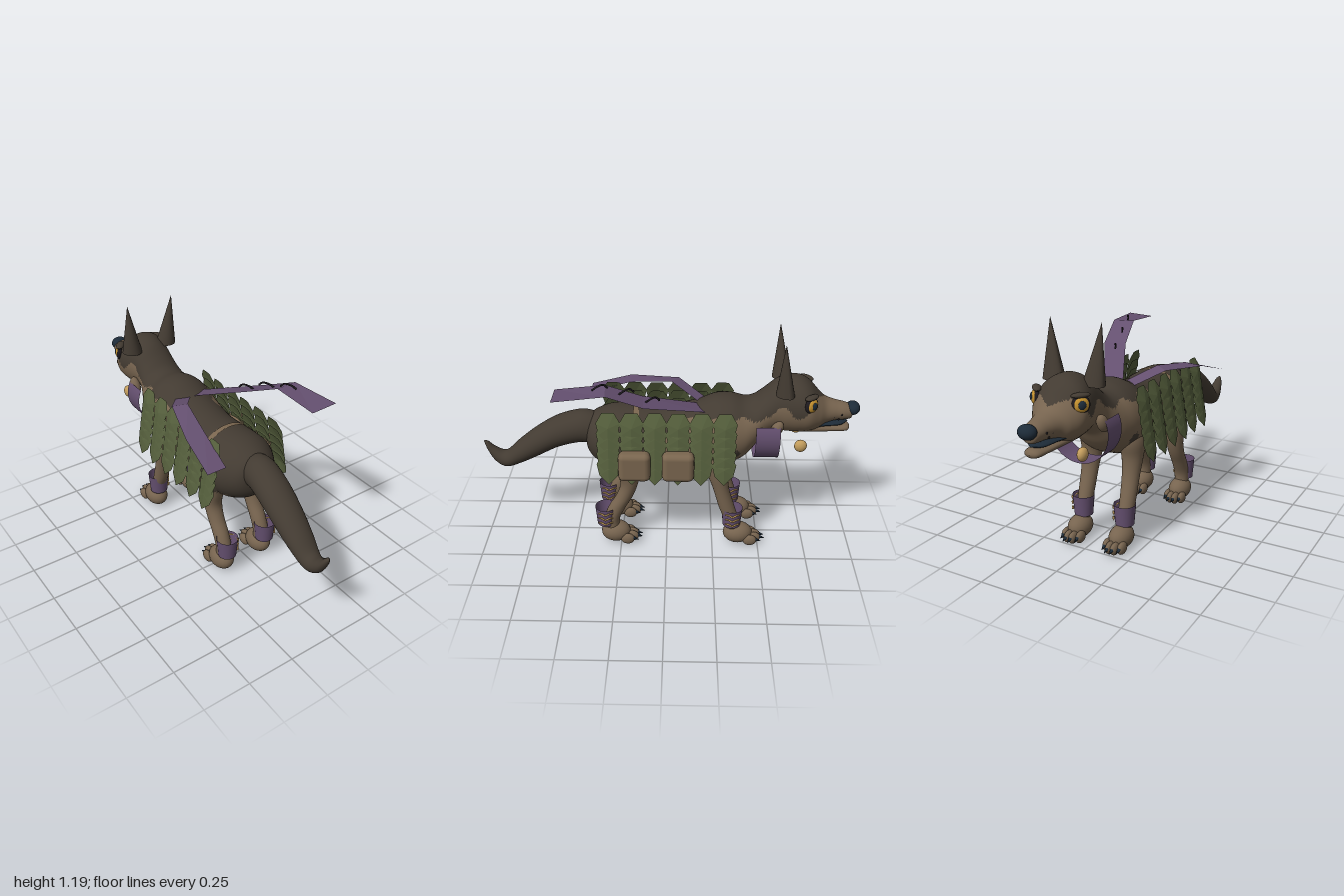
import * as THREE from 'three';
import { RoundedBoxGeometry } from 'three/addons/geometries/RoundedBoxGeometry.js';

const CX = -0.027; // the animal stands slightly off centre
const mat = (name, color, extra = {}) => Object.assign(new THREE.MeshStandardMaterial({ color, ...extra }), { name });

// Smooth tube through rows [t, u, v, ru, rv]; rings lie across the axis 'z' (u=x, v=y) or 'y' (u=x, v=z)
function loft(rows, axis = 'z', n = 32, sub = 5) {
  rows = [...rows].sort((a, b) => a[0] - b[0]);
  const at = i => rows[Math.max(0, Math.min(rows.length - 1, i))];
  const rings = [];
  for (let i = 0; i < rows.length - 1; i++) for (let k = 0; k < sub; k++) {
    const f = k / sub;
    rings.push(at(i).map((b, c) => {
      const a = at(i - 1)[c], d = at(i + 1)[c], e = at(i + 2)[c];
      return b + 0.5 * f * (d - a + f * (2 * a - 5 * b + 4 * d - e + f * (3 * (b - d) + e - a)));
    }));
  }
  rings.push(at(rows.length - 1));
  const pos = [], idx = [];
  rings.forEach(([t, u, v, ru, rv]) => {
    for (let j = 0; j < n; j++) {
      const a = j / n * Math.PI * 2;
      const p = u + Math.cos(a) * Math.max(ru, 0.001), q = v + Math.sin(a) * Math.max(rv, 0.001);
      pos.push(...(axis === 'z' ? [p, q, t] : [p, t, q]));
    }
  });
  const tri = (a, b, c) => idx.push(...(axis === 'z' ? [a, b, c] : [a, c, b]));
  for (let i = 0; i < rings.length - 1; i++) for (let j = 0; j < n; j++) {
    const a = i * n + j, b = i * n + (j + 1) % n;
    tri(a, b, a + n); tri(b, b + n, a + n);
  }
  const g = new THREE.BufferGeometry();
  g.setAttribute('position', new THREE.Float32BufferAttribute(pos, 3));
  g.setIndex(idx);
  g.computeVertexNormals();
  return g;
}

// Sort the faces into two colour groups by a rule on their centres
function paint(g, isDark) {
  const lists = [[], []], p = g.attributes.position, ix = g.index.array;
  for (let i = 0; i < ix.length; i += 3) {
    const c = [0, 1, 2].map(k => [p.getX(ix[i + k]), p.getY(ix[i + k]), p.getZ(ix[i + k])]);
    const m = [0, 1, 2].map(k => (c[0][k] + c[1][k] + c[2][k]) / 3);
    lists[isDark(...m) ? 1 : 0].push(ix[i], ix[i + 1], ix[i + 2]);
  }
  g.setIndex([...lists[0], ...lists[1]]);
  g.addGroup(0, lists[0].length, 0);
  g.addGroup(lists[0].length, lists[1].length, 1);
  return g;
}

// Flat band from pairs of edge points
function strip(pairs) {
  const pos = [], idx = [];
  pairs.forEach(([a, b]) => pos.push(a[0] - CX, a[1], a[2], b[0] - CX, b[1], b[2]));
  for (let i = 0; i < pairs.length - 1; i++) idx.push(2 * i, 2 * i + 2, 2 * i + 1, 2 * i + 1, 2 * i + 2, 2 * i + 3);
  const g = new THREE.BufferGeometry();
  g.setAttribute('position', new THREE.Float32BufferAttribute(pos, 3));
  g.setIndex(idx);
  const flat = g.toNonIndexed();
  flat.computeVertexNormals();
  return flat;
}

export function createModel() {
  const D = { side: THREE.DoubleSide };
  const fur = mat('brown fur', 0x77644f), dark = mat('dark fur', 0x433b32, D), purple = mat('purple cloth', 0x655070, D);
  const green = mat('green scales', 0x56603d, { ...D, flatShading: true }), gold = mat('gold', 0xc29c5c);
  const amber = mat('amber', 0xc4912f), navy = mat('navy', 0x1d2b38), leather = mat('leather', 0x7a664f);
  const earInner = mat('inner ear', 0x6b5946, D), black = mat('black', 0x1e1a1e);

  const root = new THREE.Group(), dog = new THREE.Group();
  dog.name = 'dog'; dog.position.x = CX; root.add(dog);
  const add = (name, geo, m, x = 0, y = 0, z = 0, parent = dog) => {
    const o = new THREE.Mesh(geo, m);
    o.name = name; o.position.set(x, y, z); parent.add(o);
    return o;
  };
  const ball = new THREE.SphereGeometry(1, 20, 14);
  const blob = (name, m, x, y, z, rx, ry, rz, parent) => {
    const o = add(name, ball, m, x, y, z, parent);
    o.scale.set(rx, ry, rz);
    return o;
  };

  // Torso, neck, head and upper snout: [z, top, bottom, half width]
  const profile = [
    [.435, .64, .6, .0], [.415, .71, .52, .09], [.36, .75, .465, .145], [.27, .775, .43, .182], [.13, .775, .425, .175],
    [0, .77, .42, .172], [-.15, .8, .425, .182], [-.25, .84, .44, .188], [-.33, .845, .47, .182], [-.4, .83, .505, .163],
    [-.45, .84, .56, .142], [-.5, .88, .63, .122], [-.56, .935, .66, .117], [-.62, .96, .655, .128], [-.68, .958, .655, .14],
    [-.73, .93, .66, .138], [-.78, .875, .675, .108], [-.82, .84, .7, .078], [-.87, .822, .715, .06], [-.92, .81, .718, .05],
    [-.955, .795, .725, .036], [-.965, .77, .75, .0]];
  const spots = [[.17, .57, -.36], [-.17, .56, -.33], [.1, .5, -.4], [.17, .5, -.1], [-.17, .5, .02]];
  const bodyDark = (x, y, z) => {
    if (spots.some(s => Math.hypot(x - s[0], (y - s[1]) * .7, z - s[2]) < .03)) return true;
    if (z < -.5) return y > .81 + .03 * Math.sin(z * 40) && z > -.74 - .07 * (1 - Math.abs(x) / .1);
    return y > .77 - .28 * THREE.MathUtils.smoothstep(z, -.2, .35) + .012 * Math.sin(z * 45);
  };
  add('body', paint(loft(profile.map(([z, t, b, r]) => [z, 0, (t + b) / 2, r, (t - b) / 2]), 'z', 56, 8), bodyDark), [fur, dark]);

  // Lower jaw, mouth and nose
  add('lowerJaw', loft([[-.68, 0, .69, .085, .03], [-.78, 0, .682, .065, .03], [-.87, 0, .675, .05, .023],
    [-.94, 0, .673, .038, .02], [-.957, 0, .673, 0, 0]]), fur);
  add('mouth', loft([[-.74, 0, .705, .09, .01], [-.82, 0, .708, .066, .015], [-.9, 0, .706, .047, .014], [-.945, 0, .705, 0, 0]]), navy);
  blob('nose', navy, 0, .78, -.963, .046, .035, .037);

  // Tail
  add('tail', loft([[.36, 0, .64, .08, .09], [.45, -.005, .655, .086, .09], [.58, -.018, .615, .087, .088], [.7, -.025, .545, .08, .083],
    [.8, -.03, .478, .068, .068], [.88, -.034, .428, .052, .046], [.94, -.04, .45, .036, .043], [.98, -.043, .5, .02, .028],
    [1, -.044, .53, 0, 0]]), dark);

  // Belt lying over the back
  const belt = add('backBelt', loft([[.145, 0, .6, .178, .181], [.175, 0, .602, .181, .181]]), leather);
  belt.material.side = THREE.DoubleSide;

  for (const s of [-1, 1]) {
    const side = s > 0 ? 'left' : 'right';

    // Ear: half cone shell behind, shallow brown hollow in front
    const shell = (name, m, depth, start) => {
      const g = new THREE.ConeGeometry(1, 1, 16, 6, true, start, Math.PI);
      g.translate(0, .5, 0).scale(.056, .285, depth);
      const p = g.attributes.position;
      for (let i = 0; i < p.count; i++) { // lean the tip outwards and back
        const h = p.getY(i) / .285;
        p.setX(i, p.getX(i) + s * .03 * h);
        p.setZ(i, p.getZ(i) + .035 * h);
      }
      g.computeVertexNormals();
      add(side + name, g, m, s * .107, .905, -.61);
    };
    shell('Ear', dark, .065, -Math.PI / 2);
    shell('EarInner', earInner, .025, -Math.PI / 2);
    shell('EarRim', dark, .03, Math.PI / 2);

    // Eye and brow
    const eye = new THREE.Group();
    eye.name = side + 'Eye';
    eye.position.set(s * .118, .853, -.727);
    eye.lookAt(s * .9, .95, -1.4);
    dog.add(eye);
    blob('eyeRim', black, 0, 0, 0, .043, .043, .02, eye);
    blob('iris', amber, 0, 0, .008, .035, .035, .018, eye);
    blob('pupil', navy, 0, 0, .02, .019, .021, .011, eye);
    blob('brow', dark, 0, .042, .002, .045, .013, .022, eye);

    // Cheek tuft, bell and muzzle dots
    const tuft = blob(side + 'CheekTuft', fur, s * .125, .715, -.56, .028, .05, .03);
    tuft.rotation.x = -.5;
    blob(side + 'Bell', gold, s * .1, .605, -.695, .024, .034, .033);
    for (const [y, z] of [[.755, -.86], [.74, -.885], [.765, -.9]]) blob('muzzleDot', black, s * .056, y, z, .005, .005, .005);

    // Legs, paws and cuffs
    for (const front of [true, false]) {
      const name = side + (front ? 'Front' : 'Hind'), px = s * .122;
      const rows = front
        ? [[.05, px, -.37, .034, .035], [.13, px, -.36, .037, .038], [.23, px, -.325, .041, .043], [.35, s * .12, -.29, .046, .043],
          [.45, s * .118, -.268, .055, .058], [.55, s * .11, -.26, .066, .085], [.68, s * .08, -.26, .05, .06]]
        : [[.05, px, .29, .036, .038], [.14, px, .3, .04, .042], [.22, px, .27, .041, .046], [.3, px, .225, .043, .045],
          [.38, s * .122, .2, .048, .048], [.47, s * .125, .205, .056, .07], [.58, s * .115, .23, .068, .09], [.7, s * .07, .24, .05, .06]];
      add(name + 'Leg', paint(loft(rows, 'y', 24), (x, y) => !front && y > .5), [fur, dark]);

      const pz = front ? -.39 : .28;
      blob(name + 'Paw', fur, px, .06, pz, .06, .06, .08);
      [-.042, -.014, .014, .042].forEach((dx, i) => {
        const reach = i % 3 ? -.088 : -.066;
        blob(name + 'Toe', fur, px + dx, .034, pz + reach, .02, .032, .038);
        const claw = add(name + 'Claw', new THREE.ConeGeometry(.011, .035, 8), navy, px + dx, .034, pz + reach - .045);
        claw.rotation.x = -Math.PI / 2 - .3;
      });

      const cz = front ? -.355 : .332;
      add(name + 'Cuff', new THREE.CylinderGeometry(.057, .048, .11, 24, 1, true), purple, px, .17, cz);
      for (const y of [.14, .17, .2]) { // gold laces on one side
        const lace = new THREE.CatmullRomCurve3([[.042, 0, .036], [.055, .006, .018], [.059, -.003, 0], [.056, .006, -.02], [.04, 0, -.038]]
          .map(p => new THREE.Vector3(...p)));
        add(name + 'Lace', new THREE.TubeGeometry(lace, 12, .005, 6), gold, px, y, cz);
      }
    }

    // Side panel of overlapping ridged scales
    const outline = [[0, .08], [-.032, .078], [-.062, .025], [-.048, -.035], [0, -.085], [.048, -.035], [.062, .025], [.032, .078]];
    const pos = [0, 0, .012], idx = [];
    outline.forEach(([x, y], i) => {
      pos.push(x, y, 0);
      idx.push(0, i + 1, (i + 1) % 8 + 1);
    });
    const scale = new THREE.BufferGeometry();
    scale.setAttribute('position', new THREE.Float32BufferAttribute(pos, 3));
    scale.setIndex(idx);
    scale.computeVertexNormals();
    const panel = new THREE.Group();
    panel.name = side + 'ScalePanel';
    dog.add(panel);
    for (let r = 0; r < 5; r++) for (let c = 0; c < 6; c++) {
      const y = .752 - r * .054 - (r === 4 ? .002 : 0);
      const o = add('scale', scale, green, s * (.182 + .065 * (.83 - y) / .38), y, .295 - c * .118, panel);
      o.rotation.order = 'YXZ';
      o.rotation.set(-.3 + .05 * (c % 2), s * Math.PI / 2, 0);
    }
  }

  // Collar: open band hanging under the neck
  const collar = add('collar', new THREE.CylinderGeometry(.165, .165, .125, 40, 1, true, -Math.PI / 2 - .45, Math.PI + .9), purple, 0, .665, -.518);
  collar.rotation.x = Math.PI / 2;

  // Saddle pouches on one side
  for (const z of [.163, -.06]) add('pouch', new RoundedBoxGeometry(.075, .162, .165, 2, .03), leather, .217 - CX, .56, z);

  // Trailing ribbons
  add('highRibbon', strip([[[-.04, .79, -.18], [.06, .79, -.2]], [[.115, .91, .12], [.24, .905, .11]],
    [[.165, .995, .3], [.285, .99, .29]], [[.18, .975, .545], [.325, .98, .545]]]), purple);
  add('lowRibbon', strip([[[-.11, .79, -.2], [-.03, .79, -.18]], [[-.22, .85, -.06], [-.15, .86, -.02]],
    [[-.305, .823, .2], [-.2, .83, .2]], [[-.33, .755, .42], [-.225, .755, .42]]]), purple);

  // Loose stitches on the high ribbon
  for (const [x, y, z] of [[.15, .905, .07], [.18, .965, .195], [.215, 1.005, .32]]) {
    const c = new THREE.CatmullRomCurve3([[-.02, -.01, -.035], [-.012, .01, -.015], [.008, .006, .015], [.02, -.006, .038]]
      .map(p => new THREE.Vector3(...p)));
    add('stitch', new THREE.TubeGeometry(c, 10, .005, 6), black, x - CX, y, z);
  }
  return root;
}
